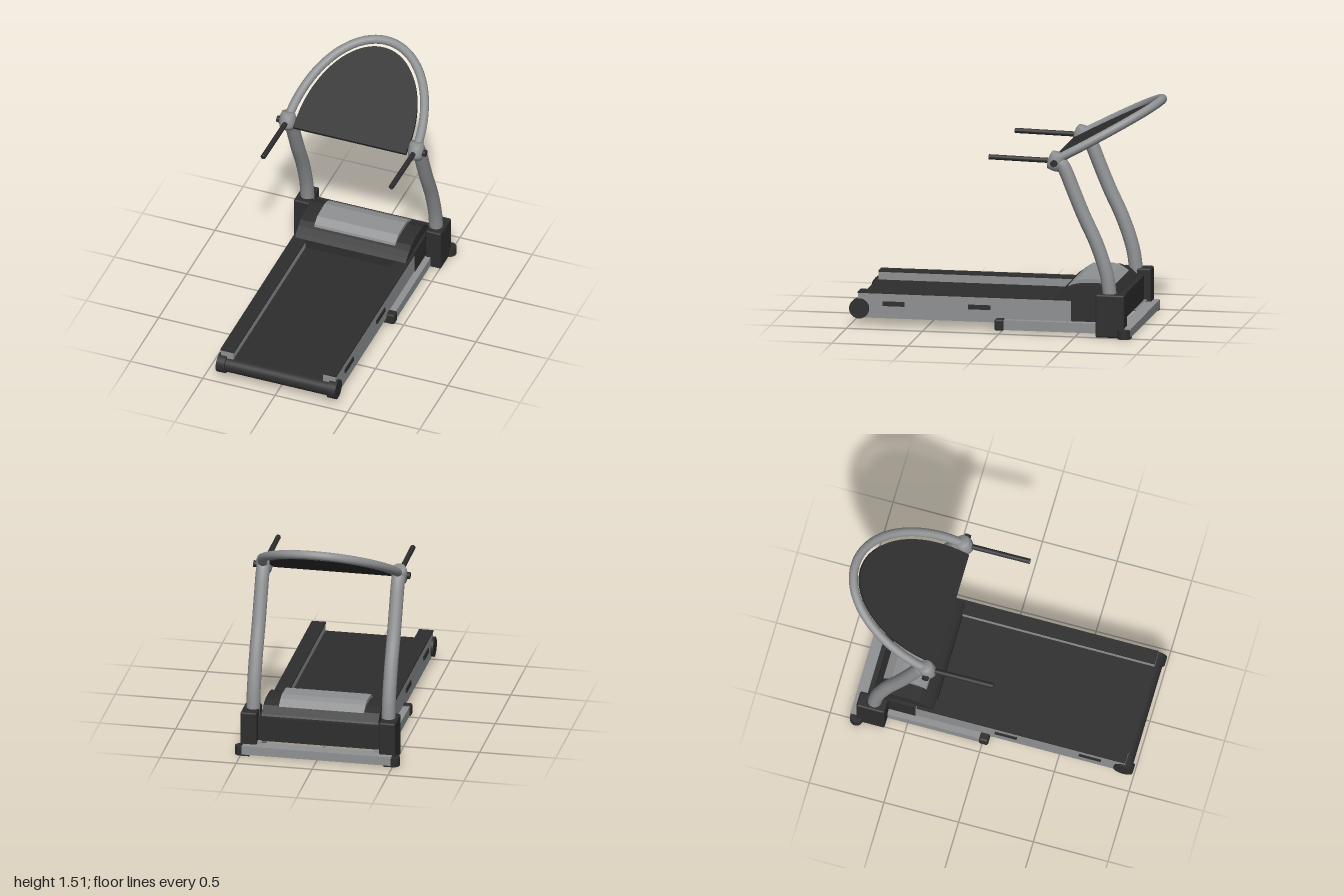
import * as THREE from 'three';
import { RoundedBoxGeometry } from 'three/addons/geometries/RoundedBoxGeometry.js';

const V = (x, y, z) => new THREE.Vector3(x, y, z);

export function createModel() {
  const root = new THREE.Group();
  root.name = 'treadmill';
  const grey = new THREE.MeshStandardMaterial({ color: 0x8f9193 });
  grey.name = 'grey metal';
  const dark = new THREE.MeshStandardMaterial({ color: 0x2e2e2e });
  dark.name = 'dark plastic';

  const add = (name, geo, mat) => {
    const m = new THREE.Mesh(geo, mat);
    m.name = name;
    root.add(m);
    return m;
  };
  // box from its limits, with optional rounded edges
  const box = (name, [x0, x1], [y0, y1], [z0, z1], mat, r = 0) => {
    const d = [x1 - x0, y1 - y0, z1 - z0];
    const g = r ? new RoundedBoxGeometry(...d, 3, r) : new THREE.BoxGeometry(...d);
    g.translate((x0 + x1) / 2, (y0 + y1) / 2, (z0 + z1) / 2);
    return add(name, g, mat);
  };
  // cylinder along x
  const rod = (name, x0, x1, y, z, r, mat) => {
    const g = new THREE.CylinderGeometry(r, r, x1 - x0, 32).rotateZ(Math.PI / 2);
    return add(name, g.translate((x0 + x1) / 2, y, z), mat);
  };
  // side profile of [z, y] points, extruded across x
  const across = (name, pts, half, mat) => {
    const s = new THREE.Shape(pts.map(([z, y]) => new THREE.Vector2(-z, y)));
    const g = new THREE.ExtrudeGeometry(s, { depth: half * 2, bevelEnabled: false });
    return add(name, g.translate(0, 0, -half).rotateY(Math.PI / 2), mat);
  };
  const mirrored = (s, a, b) => (s > 0 ? [a, b] : [-b, -a]);

  // running deck and roller
  box('runningBelt', [-0.315, 0.315], [0.115, 0.165], [-0.6, 0.935], dark);
  rod('roller', -0.37, 0.37, 0.113, 0.935, 0.052, dark);

  // motor hood with its cover
  across('motorHood', [[-0.34, 0.15], [-0.34, 0.225], [-0.36, 0.25], [-0.4, 0.278], [-0.44, 0.3],
    [-0.5, 0.313], [-0.63, 0.315], [-0.69, 0.295], [-0.74, 0.25], [-0.78, 0.2], [-0.78, 0.08], [-0.46, 0.08]],
  0.383, dark);
  box('hoodSkirt', [-0.402, 0.402], [0.083, 0.24], [-0.78, -0.457], dark);
  across('hoodCover', [[-0.41, 0.27], [-0.42, 0.303], [-0.47, 0.335], [-0.6, 0.342], [-0.65, 0.33],
    [-0.705, 0.295], [-0.69, 0.27]], 0.28, grey);

  // rear cross bar
  box('crossBar', [-0.49, 0.49], [0.01, 0.068], [-0.868, -0.785], grey);

  for (const s of [1, -1]) {
    const X = (a, b) => mirrored(s, a, b);

    // side rail with dark tread and slots
    box('sideRail', X(0.31, 0.396), [0.055, 0.216], [-0.6, 0.945], grey);
    box('railTread', X(0.306, 0.4), [0.216, 0.226], [-0.45, 0.945], dark);
    for (const z of [0.71, 0.147])
      box('railSlot', X(0.396, 0.404), [0.136, 0.166], [z - 0.073, z + 0.073], dark);
    rod('rollerCap', ...X(0.355, 0.412), 0.115, 0.935, 0.065, dark);

    // base bar and feet
    box('baseBar', X(0.37, 0.44), [0.016, 0.08], [-0.8, 0.02], grey);
    box('baseBarCap', X(0.365, 0.45), [0.01, 0.086], [-0.022, 0.04], dark, 0.014);
    box('postBase', X(0.402, 0.51), [0.003, 0.285], [-0.825, -0.635], dark, 0.012);
    box('foot', X(0.44, 0.5), [0, 0.056], [-0.865, -0.782], dark);
    add('footEnd', new THREE.CylinderGeometry(0.042, 0.042, 0.056, 24)
      .translate(s * 0.5, 0.028, -0.824), dark);

    // curved upright
    const path = new THREE.CatmullRomCurve3([[0.22, -0.725], [0.4, -0.7], [0.6, -0.635], [0.8, -0.543],
      [0.97, -0.473], [1.08, -0.428], [1.125, -0.4], [1.14, -0.36]].map(([y, z]) => V(s * 0.445, y, z)));
    add('upright', new THREE.TubeGeometry(path, 40, 0.045, 20), grey);

    // barrel clamp with knob and handle
    const barrel = [[0, -0.056], [0.043, -0.056], [0.051, -0.03], [0.054, 0], [0.051, 0.03], [0.043, 0.056], [0, 0.056]];
    const clamp = add('clamp', new THREE.LatheGeometry(barrel.map(p => new THREE.Vector2(...p)), 28), grey);
    clamp.position.set(s * 0.445, 1.14, -0.365);
    clamp.rotation.x = -0.32;
    rod('clampKnob', ...X(0.48, 0.515), 1.135, -0.362, 0.022, dark);
    add('handle', new THREE.TubeGeometry(
      new THREE.LineCurve3(V(s * 0.443, 1.142, -0.36), V(s * 0.443, 1.152, 0.075)), 1, 0.017, 16), dark);
    add('handleEnd', new THREE.CircleGeometry(0.017, 16).translate(s * 0.443, 1.152, 0.0751), dark);
  }

  // sloping half-ellipse hoop
  const hoop = [];
  for (let i = 0; i <= 24; i++) {
    const a = (i / 24) * Math.PI;
    hoop.push(V(0.445 * Math.cos(a), 1.145 + 0.332 * Math.sin(a), -0.36 - 0.613 * Math.sin(a)));
  }
  add('hoop', new THREE.TubeGeometry(new THREE.CatmullRomCurve3(hoop), 80, 0.029, 16), grey);

  // console panel inside the hoop
  const panel = new THREE.Shape();
  panel.moveTo(-0.39, -0.05);
  panel.lineTo(0.39, -0.05);
  panel.lineTo(0.39, 0.02);
  panel.absellipse(0, 0.02, 0.39, 0.62, 0, Math.PI, false, 0);
  panel.closePath();
  const plate = new THREE.ExtrudeGeometry(panel, { depth: 0.025, bevelEnabled: false, curveSegments: 40 });
  plate.translate(0, 0, -0.02).rotateX(-1.085).translate(0, 1.15, -0.365);
  add('consolePanel', plate, dark);

  return root;
}
